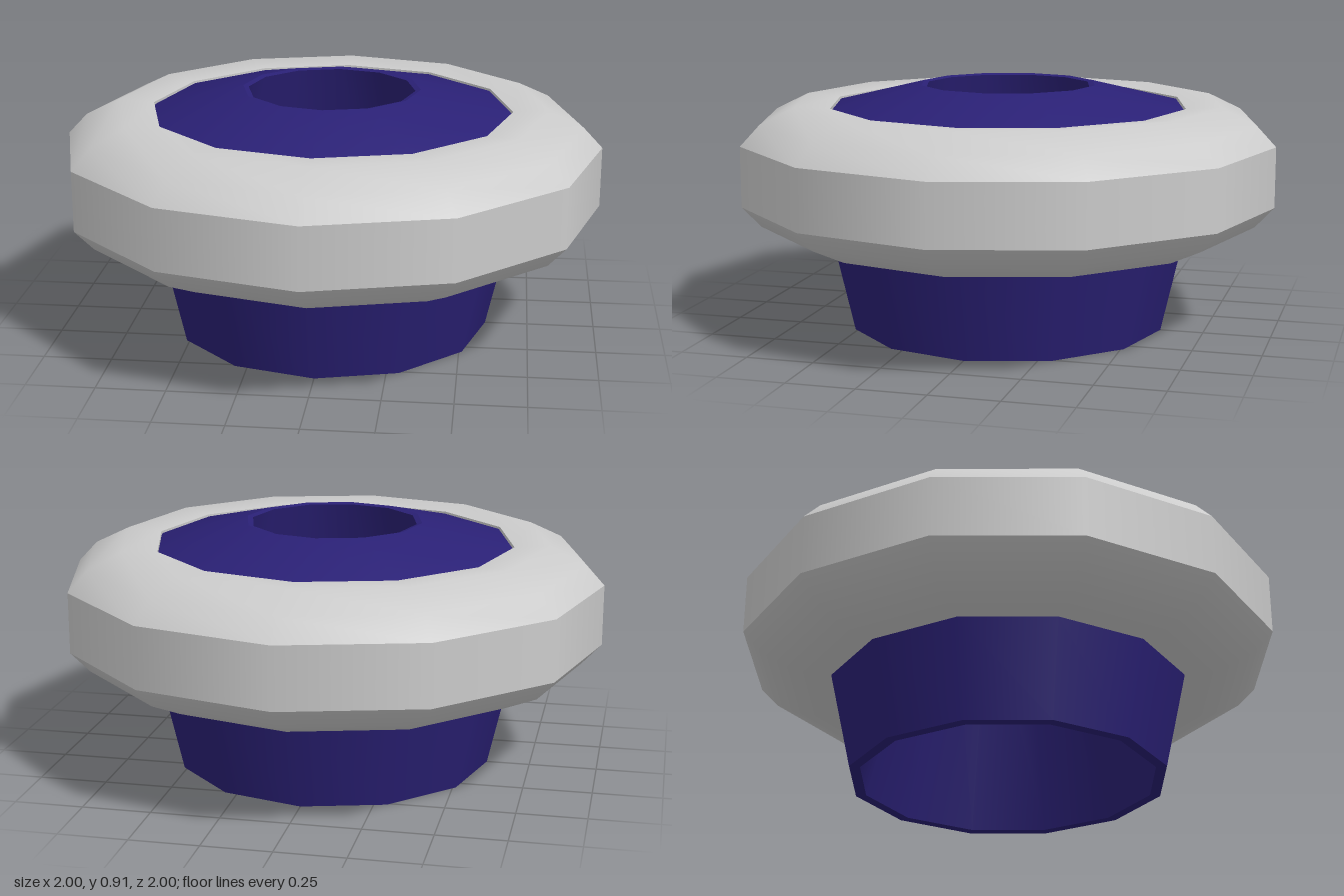
import * as THREE from 'three';

const SIDES = 12;

// Revolve a closed profile of [radius, height, sharp?]; doubled points keep an edge sharp.
function revolve(name, profile, color) {
  const points = [];
  for (const [r, y, sharp] of profile) {
    points.push(new THREE.Vector2(r, y));
    if (sharp) points.push(new THREE.Vector2(r, y));
  }
  const mesh = new THREE.Mesh(
    new THREE.LatheGeometry(points, SIDES),
    new THREE.MeshStandardMaterial({ color, side: THREE.DoubleSide })
  );
  mesh.name = name;
  return mesh;
}

export function createModel() {
  const group = new THREE.Group();
  group.name = 'collaredHub';

  // Hollow tapered hub with a shallow domed top and a through hole
  group.add(revolve('hub', [
    [0.55, 0], [0.59, 0, true],
    [0.67, 0.35], [0.73, 0.62, true],
    [0.71, 0.74], [0.665, 0.828], [0.33, 0.91, true],
    [0.31, 0.905, true], [0.55, 0],
  ], 0x2a2075));

  // Thick rounded collar around the hub
  group.add(revolve('collar', [
    [0.67, 0.35], [0.8, 0.35], [0.93, 0.41], [1, 0.485, true],
    [1, 0.708, true], [0.93, 0.782], [0.8, 0.845], [0.67, 0.835, true],
    [0.67, 0.35],
  ], 0xcccccc));

  return group;
}
